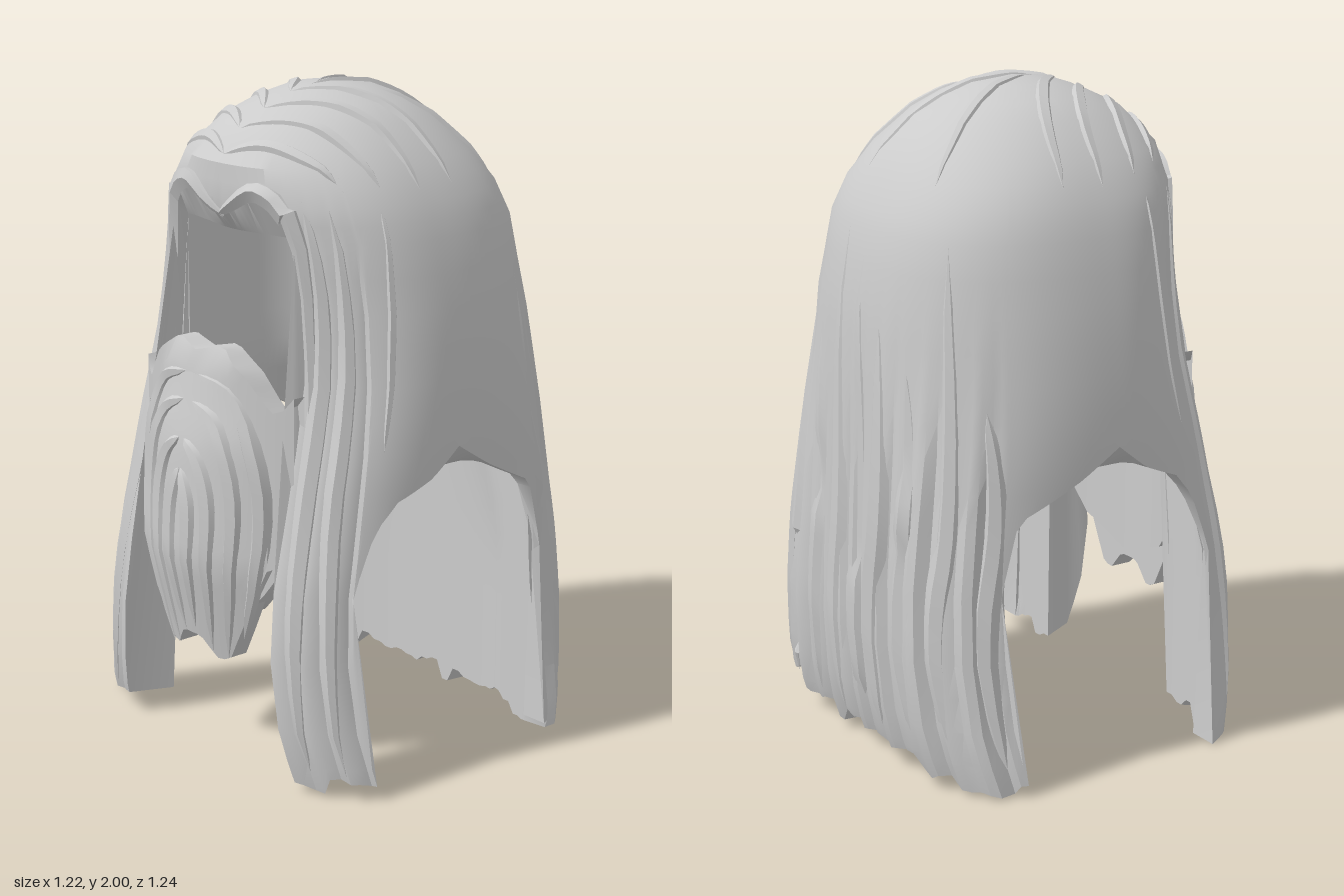
import * as THREE from 'three';
import { toCreasedNormals } from 'three/addons/utils/BufferGeometryUtils.js';

const V = (x, y, z) => new THREE.Vector3(x, y, z);
const RAD = Math.PI / 180;
const hash = k => { const s = Math.sin(k * 127.1 + 11.7) * 43758.5453; return s - Math.floor(s); };
const smooth = (v, a, b) => THREE.MathUtils.smoothstep(v, a, b);

// Linear lookup in a small table; returns column c at key t
function look(table, t, c = 1) {
  if (t <= table[0][0]) return table[0][c];
  for (let i = 1; i < table.length; i++) {
    const a = table[i - 1], b = table[i];
    if (t <= b[0]) return a[c] + (b[c] - a[c]) * (t - a[0]) / (b[0] - a[0]);
  }
  return table[table.length - 1][c];
}

// Skin a list of equal-length sections, skipping collapsed triangles
function loft(rings, closed = false, crease = 0.6) {
  const pos = [];
  const tri = (a, b, c) => {
    const area = b.clone().sub(a).cross(c.clone().sub(a)).length();
    if (area > 1e-8) pos.push(...a.toArray(), ...b.toArray(), ...c.toArray());
  };
  const n = rings.length;
  for (let j = 0; j < (closed ? n : n - 1); j++) {
    const A = rings[j], B = rings[(j + 1) % n];
    for (let i = 0; i < A.length - 1; i++) {
      tri(A[i], B[i], B[i + 1]);
      tri(A[i], B[i + 1], A[i + 1]);
    }
  }
  const g = new THREE.BufferGeometry();
  g.setAttribute('position', new THREE.Float32BufferAttribute(pos, 3));
  return toCreasedNormals(g, crease);
}

// Outer hair profile: y, half width, front z, back z, squareness
const PROFILE = [
  [0, 0.66, 0.5, 0.55, 4], [0.1, 0.64, 0.53, 0.585, 4], [0.2, 0.61, 0.55, 0.605, 4],
  [0.4, 0.575, 0.56, 0.62, 4], [0.6, 0.56, 0.54, 0.615, 3.8], [0.8, 0.565, 0.5, 0.605, 3.2],
  [1, 0.57, 0.46, 0.59, 2.8], [1.2, 0.56, 0.42, 0.575, 2.5], [1.4, 0.535, 0.405, 0.555, 2.4],
  [1.6, 0.49, 0.41, 0.515, 2.5], [1.7, 0.45, 0.425, 0.47, 2.5], [1.8, 0.385, 0.42, 0.405, 2.3],
  [1.9, 0.285, 0.33, 0.305, 2.1], [1.95, 0.21, 0.225, 0.22, 2], [1.985, 0.12, 0.13, 0.13, 2], [2, 0, 0, 0, 2]];
const ROWS = [2, 1.985, 1.95, 1.9, 1.85, 1.8, 1.75, 1.7, 1.65, 1.6, 1.5, 1.4, 1.3, 1.2, 1.1, 1,
  0.9, 0.8, 0.7, 0.6, 0.5, 0.4, 0.3, 0.2, 0.1, 0];
const FRONT = 36, FACE = 57.5, BACK = -33; // angles where the hanging locks begin and end

const fold = deg => deg > 90 ? 180 - deg : deg;

// Carved lock pattern: each lock has its own depth and a grooved edge
function relief(deg, y) {
  const f = fold(deg), u = (f + 90) / 7.5, k = Math.floor(u + 0.01);
  const depth = hash(k + (deg > 90 ? 50 : 0)) * 0.6 + (u + 0.01 - k < 0.3 ? 0.4 : 0);
  const amp = f < BACK ? 0.07 * (1 - smooth(y, 0.7, 1.5))
    : f > FRONT ? 0.06 * (1 - smooth(y, 1.35, 1.8)) : 0;
  return 1 - amp * depth;
}

function ringPoint(deg, y, hx, zf, zb, n) {
  const c = Math.cos(deg * RAD), s = Math.sin(deg * RAD);
  const r = (Math.abs(c) ** n + Math.abs(s) ** n) ** (1 / n);
  return V(hx * c / r, y, (s > 0 ? zf : zb) * s / r);
}

function outer(deg, y) {
  const k = relief(deg, y), p = c => look(PROFILE, y, c);
  return ringPoint(deg, y, p(1) * (0.4 + 0.6 * k), p(2) * k, p(3) * k, p(4));
}

// Point on the dome above a given x, z
function dome(x, z) {
  let lo = 1.6, hi = 2;
  for (let i = 0; i < 30; i++) {
    const y = (lo + hi) / 2, n = look(PROFILE, y, 4);
    const inside = Math.abs(x / look(PROFILE, y)) ** n + Math.abs(z / look(PROFILE, y, z > 0 ? 2 : 3)) ** n < 1;
    if (inside) lo = y; else hi = y;
  }
  return V(x, lo, z);
}

// Round head cavity with a flat ceiling; the hanging panels end in flat side walls
function inner(deg, y) {
  const s = y < 1.6 ? 1 : Math.sqrt(Math.max(0, 1 - ((y - 1.6) / 0.4) ** 2));
  const low = 1 - smooth(y, 0.5, 1.1);
  const p = ringPoint(deg, Math.min(y, 1.6), (0.47 + 0.08 * low) * s, 0.37 * s, 0.4 * s, 2.4 + 1.3 * low);
  if (y < 1) p.z = Math.sign(p.z) * Math.max(Math.abs(p.z), Math.min(Math.abs(outer(deg, y).z), 0.362));
  return p;
}

// Lower edge of the hair: ragged hem, side arches and the face opening
function hem(deg) {
  const f = fold(deg);
  const rag = 0.085 * hash(Math.floor((f + 90) / 5) + (deg > 90 ? 90 : 7));
  return look([[-90, rag], [BACK - 0.01, rag], [BACK, 0.6], [-31, 0.78], [-28, 0.83], [-12, 0.92], [0, 1],
    [12, 0.92], [25, 0.87], [31, 0.8], [34, 0.72], [FRONT, 0.6], [FRONT + 0.01, rag], [FACE, rag],
    [FACE + 0.01, 1.62], [59, 1.69], [64, 1.715], [73, 1.72], [82, 1.68], [90, 1.64]], f);
}

function hairGeometry() {
  const half = [BACK - 0.01, BACK, FRONT, FRONT + 0.01, FACE - 0.01, FACE + 0.01];
  for (let a = -90; a <= 90; a += 2.5) half.push(a);
  half.sort((a, b) => a - b);
  const mirrored = half.slice(1, -1).reverse().map(a => 180 - a);
  const rings = [...half, ...mirrored].map(a => {
    const edge = hem(a), innerEdge = edge > 1.5 ? edge : Math.min(edge, 0.92);
    return [...ROWS.map(y => outer(a, Math.max(y, edge))),
      ...[...ROWS].reverse().map(y => inner(a, Math.max(y, innerEdge)))];
  });
  return loft(rings, true);
}

// Tapered ridge lying on a surface, along a path of surface coordinates
function ridge(surface, normal, path, width, height, steps = 14) {
  const curve = new THREE.CatmullRomCurve3(path.map(([a, b]) => V(a, b, 0)), false, 'centripetal');
  const pts = [];
  for (let i = 0; i <= steps; i++) {
    const q = curve.getPoint(i / steps);
    pts.push(surface(q.x, q.y));
  }
  const rings = pts.map((p, i) => {
    const T = pts[Math.min(i + 1, steps)].clone().sub(pts[Math.max(i - 1, 0)]).normalize();
    const N = normal(p), B = N.clone().cross(T).normalize();
    const k = Math.sqrt(Math.sin(Math.PI * i / steps) + 1e-6);
    const at = (b, n) => p.clone().addScaledVector(B, b * k * width).addScaledVector(N, n * k);
    return [at(-1, -0.015), at(-0.4, height), at(0.5, height * 0.7), at(1, -0.015), at(-1, -0.015)];
  });
  return loft(rings, false, 0.5);
}

// Front-facing slab between a top and bottom edge, built column by column
function slab(halfWidth, top, bottom, zFront, zBack) {
  const rings = [], rows = 14;
  for (let i = 0; i <= 24; i++) {
    const x = halfWidth * (i / 12 - 1), lo = look(bottom, Math.abs(x)), hi = look(top, Math.abs(x));
    const ring = [];
    for (let r = 0; r <= rows; r++) { const y = lo + (hi - lo) * r / rows; ring.push(V(x, y, zFront(x, y))); }
    for (let r = rows; r >= 0; r--) { const y = lo + (hi - lo) * r / rows; ring.push(V(x, y, zBack(x, y))); }
    rings.push([...ring, ring[0]]);
  }
  return loft(rings);
}

export function createModel() {
  const model = new THREE.Group();
  const material = new THREE.MeshStandardMaterial({ color: 0xcccccc, side: THREE.DoubleSide });
  const add = (geometry, name, parent = model) => {
    const mesh = new THREE.Mesh(geometry, material);
    mesh.name = name;
    parent.add(mesh);
  };
  const group = name => { const g = new THREE.Group(); g.name = name; model.add(g); return g; };

  add(hairGeometry(), 'hair');

  // Hanging locks, given as [angle, height] paths
  const hairNormal = p => V(p.x, Math.max(0, p.y - 1.45), p.z).normalize();
  const lock = (path, w, h, name, parent) => add(ridge(outer, hairNormal, path, w, h), name, parent);
  const both = (path, w, h, name, parent) => {
    lock(path, w, h, name, parent);
    lock(path.map(([a, y]) => [180 - a, y]), w, h, name, parent);
  };
  const front = group('frontLocks');
  both([[92, 1.645], [82, 1.695], [73, 1.735], [65, 1.73], [59, 1.68], [56, 1.58], [55.5, 1.3], [55, 1.1]], 0.035, 0.025, 'fringeLock', front);
  both([[52, 1.72], [51, 1.4], [52, 0.9], [51, 0.5], [52, 0.08]], 0.04, 0.015, 'frontLock', front);
  both([[43, 1.7], [43, 1.3], [44, 0.9], [42, 0.5], [43, 0.08]], 0.035, 0.015, 'frontLock', front);
  both([[24, 1.72], [28, 1.35], [31, 1.02]], 0.02, 0.008, 'sideLock', front);
  const back = group('backLocks');
  for (let i = 0; i < 10; i++) {
    const a = -143 + i * 11.8, hi = 1.1 + 0.5 * hash(i + 3), lo = 0.06 + 0.1 * hash(i + 31);
    lock([[a + 2, hi], [a - 1, 0.8], [a + 1, 0.45], [a, lo]], 0.045, 0.012, 'backLock', back);
  }

  // Locks swept back from the parting, given as [x, z] paths over the dome
  const domeNormal = p => V(p.x, Math.max(0.02, p.y - 1.4), p.z).normalize();
  const swept = group('sweptLocks');
  const sweep = (path, s, w) =>
    add(ridge(dome, domeNormal, path.map(([x, z]) => [s * x, z]), w, 0.012), 'sweptLock', swept);
  for (const s of [-1, 1]) {
    sweep([[0, 0.4], [0.12, 0.35], [0.24, 0.31], [0.34, 0.27]], s, 0.03);
    sweep([[0, 0.34], [0.13, 0.26], [0.27, 0.2], [0.4, 0.16]], s, 0.03);
    sweep([[0, 0.25], [0.14, 0.14], [0.29, 0.06], [0.43, 0.03]], s, 0.03);
    sweep([[0, 0.15], [0.12, 0.03], [0.27, -0.06], [0.42, -0.1]], s, 0.03);
  }
  sweep([[0.01, 0.04], [0.1, -0.17], [0.22, -0.4]], -1, 0.022);
  sweep([[0, 0.07], [0.04, -0.15], [0.11, -0.43]], 1, 0.022);
  sweep([[0.12, -0.1], [0.22, -0.24], [0.31, -0.36]], 1, 0.022);

  // Moustache and cheek hair
  add(slab(0.34,
    [[0, 1.265], [0.1, 1.29], [0.2, 1.22], [0.28, 1.12], [0.31, 1.13], [0.34, 1.17]],
    [[0, 0.42], [0.2, 0.5], [0.28, 0.6], [0.34, 0.82]],
    (x, y) => 0.53 - 0.1 * (x / 0.34) ** 2 - 0.03 * smooth(y, 1.24, 1.29),
    x => 0.44 - 0.05 * (x / 0.34) ** 2), 'moustacheAndCheeks');

  // Raised chin beard
  const DEPTH = [[0.33, 0.53], [0.45, 0.555], [0.65, 0.595], [1, 0.575], [1.1, 0.55], [1.2, 0.53]];
  const chinZ = (x, y) => look(DEPTH, y) - 0.11 * (x / 0.28) ** 2;
  add(slab(0.28,
    [[0, 1.2], [0.1, 1.18], [0.18, 1.1], [0.22, 1], [0.28, 0.82]],
    [[0, 0.4], [0.04, 0.4], [0.1, 0.33], [0.14, 0.35], [0.2, 0.47], [0.28, 0.65]],
    chinZ, () => 0.45), 'chinBeard');

  // Nested beard locks
  const beardLocks = group('beardLocks');
  const chinNormal = p => V(p.x * 1.2, 0, 0.6).normalize();
  [[0.255, 1.2, 0.42, 0.19], [0.185, 1.12, 0.34, 0.13], [0.11, 1.01, 0.36, 0.08],
    [0.04, 0.92, 0.42, 0.025]].forEach(([w, hi, lo, tip]) => {
    for (const s of [-1, 1]) {
      const path = [[0.1 * w, hi], [0.6 * w, hi - 0.05], [w * 0.95, (hi + 0.7) / 2], [w, 0.68], [tip, lo - (s < 0 ? 0.02 : 0)]];
      add(ridge((x, y) => V(x, y, chinZ(x, y)), chinNormal, path.map(([x, y]) => [s * x, y]), 0.036, 0.018), 'beardLock', beardLocks);
    }
  });
  return model;
}
